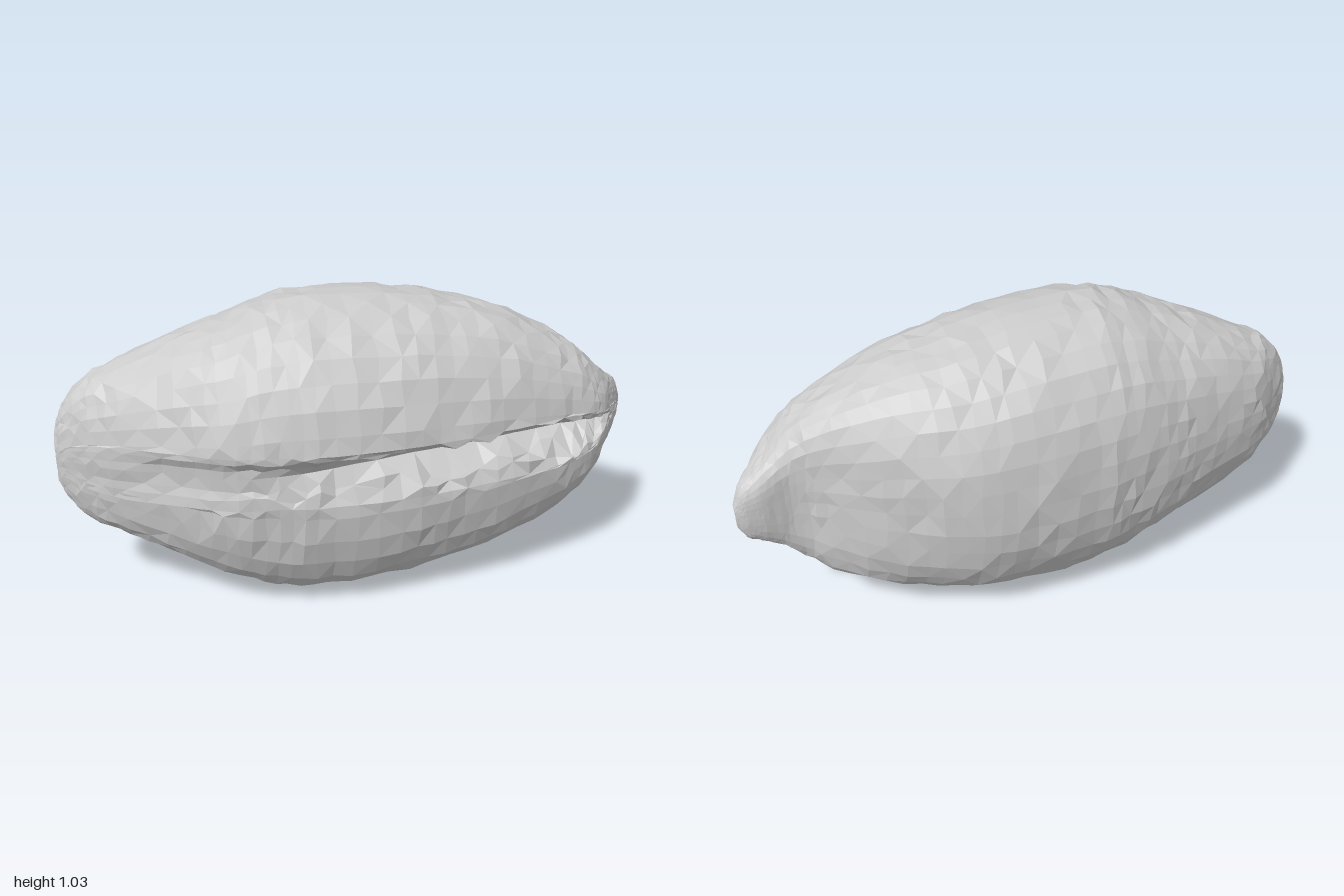
import * as THREE from 'three';

// Outline stations along the length: x, bottom y, top y, back z, front z
const STATIONS = [
  [-1.0, 0.42, 0.59, -0.07, 0.01], [-0.97, 0.35, 0.68, -0.1, 0.04],
  [-0.9, 0.275, 0.77, -0.15, 0.09], [-0.8, 0.23, 0.82, -0.22, 0.155],
  [-0.6, 0.145, 0.91, -0.28, 0.27], [-0.45, 0.085, 0.965, -0.32, 0.35],
  [-0.3, 0.035, 1.02, -0.355, 0.375], [-0.15, 0.008, 1.04, -0.38, 0.39],
  [0.1, 0.025, 1.03, -0.393, 0.38], [0.3, 0.055, 1.0, -0.37, 0.345],
  [0.5, 0.11, 0.945, -0.28, 0.295], [0.7, 0.195, 0.85, -0.18, 0.23],
  [0.8, 0.275, 0.78, -0.13, 0.19], [0.87, 0.345, 0.715, -0.11, 0.14],
  [0.93, 0.395, 0.665, -0.105, 0.05], [0.97, 0.425, 0.635, -0.1, -0.01],
  [1.0, 0.48, 0.57, -0.085, -0.05],
];
// Crease across the front: height offset, share of the depth
const CREASE = [[-0.11, 0.02], [-0.075, 0.1], [-0.045, 0.4], [0, 1], [0.03, 0.8], [0.06, 0.1], [0.08, 0]];
const RINGS = 56;
const ARC = 34;
const LOWER_LIP = 0.945; // the lower half sits slightly behind the upper one

let seed = 7;
const rand = () => {
  seed = (seed * 16807) % 2147483647;
  return seed / 2147483647 - 0.5;
};
const smooth = THREE.MathUtils.smoothstep;

function outlineCurve(a, b) {
  const points = STATIONS.map((s) => new THREE.Vector3(s[0], s[a], s[b]));
  return new THREE.CatmullRomCurve3(points, false, 'catmullrom', 0.5);
}

// One closed section, going from the front up, over the back and underneath
function section(x, bottom, top, back, front) {
  const middle = (bottom + top) / 2;
  const cy = THREE.MathUtils.lerp(middle, 0.55, smooth(x, -0.9, -0.3) * 0.8);
  const cz = (front + back) / 2;
  const w = (front - back) / 2;
  const up = top - cy;
  const down = cy - bottom;
  const scale = Math.min(1, Math.min(up, down) / 0.3);
  const rough = 0.016 * scale;
  const flatBack = smooth(x, 0.25, 0.75) * (1 - smooth(x, 0.88, 1));
  const scoop = 0.2 * smooth(x, 0.55, 0.78) * (1 - smooth(x, 0.8, 0.93));
  const open = 1 - smooth(x, 0.86, 0.95);
  // Shallow dent at the blunt end, running into the deep crease
  const depth = Math.min(0.13, w * 0.6) * open
    * (0.18 * smooth(x, -0.85, -0.6) + 0.82 * smooth(x, -0.45, 0.2));
  const points = [];

  for (const [dy, share] of CREASE) {
    const ragged = share > 0.05 && share < 1 ? 0.05 * smooth(x, -0.6, -0.2) * scale : 0;
    const lip = dy < 0 ? LOWER_LIP : 0.995;
    points.push([
      x + rand() * ragged * 0.6,
      cy + dy * scale + rand() * ragged * (dy < 0 ? 1 : 0.4),
      cz + w * lip - depth * Math.max(0, share + rand() * ragged * 6) + rand() * rough * 0.4,
    ]);
  }
  for (let j = 0; j <= ARC; j++) {
    const a = 0.28 + (j / ARC) * (Math.PI * 2 - 0.56);
    const c = Math.cos(a);
    const s = Math.sin(a);
    const n = c < 0 ? 2.25 + flatBack : s < 0 ? 2.8 : 2.2;
    const r = Math.pow(Math.pow(Math.abs(c), n) + Math.pow(Math.abs(s), n), -1 / n);
    const lump = 1 + rand() * rough * 1.8;
    const inset = c < 0 ? 1 - scoop * c * c : s < 0 ? LOWER_LIP : 1;
    points.push([
      x + rand() * rough,
      cy + (s > 0 ? up : down) * s * r * lump,
      cz + w * c * r * lump * inset,
    ]);
  }
  return points;
}

function seedGeometry() {
  const heights = outlineCurve(1, 2);
  const depths = outlineCurve(3, 4);
  const positions = [];
  const index = [];
  const count = CREASE.length + ARC + 1;
  for (let i = 0; i <= RINGS; i++) {
    const h = heights.getPoint(i / RINGS);
    const d = depths.getPoint(i / RINGS);
    for (const p of section(h.x, h.y, h.z, d.y, d.z)) positions.push(...p);
  }
  for (let i = 0; i < RINGS; i++) {
    for (let j = 0; j < count; j++) {
      const a = i * count + j;
      const b = i * count + ((j + 1) % count);
      const c = a + count;
      const d = b + count;
      // Alternate the diagonals so the facets look irregular
      if ((i + j) % 2) index.push(a, c, b, b, c, d);
      else index.push(a, c, d, a, d, b);
    }
  }
  // Close both tips
  const tip = positions.length / 3;
  positions.push(-1.0, 0.505, -0.03, 1.0, 0.525, -0.07);
  for (let j = 0; j < count; j++) {
    const k = (j + 1) % count;
    index.push(tip, j, k, tip + 1, RINGS * count + k, RINGS * count + j);
  }
  const geometry = new THREE.BufferGeometry();
  geometry.setAttribute('position', new THREE.Float32BufferAttribute(positions, 3));
  geometry.setIndex(index);
  geometry.computeVertexNormals();
  return geometry;
}

export function createModel() {
  const group = new THREE.Group();
  group.name = 'creasedSeed';
  const material = new THREE.MeshStandardMaterial({ color: 0xcccccc, flatShading: true });
  const body = new THREE.Mesh(seedGeometry(), material);
  body.name = 'seedBody';
  group.add(body);
  return group;
}
